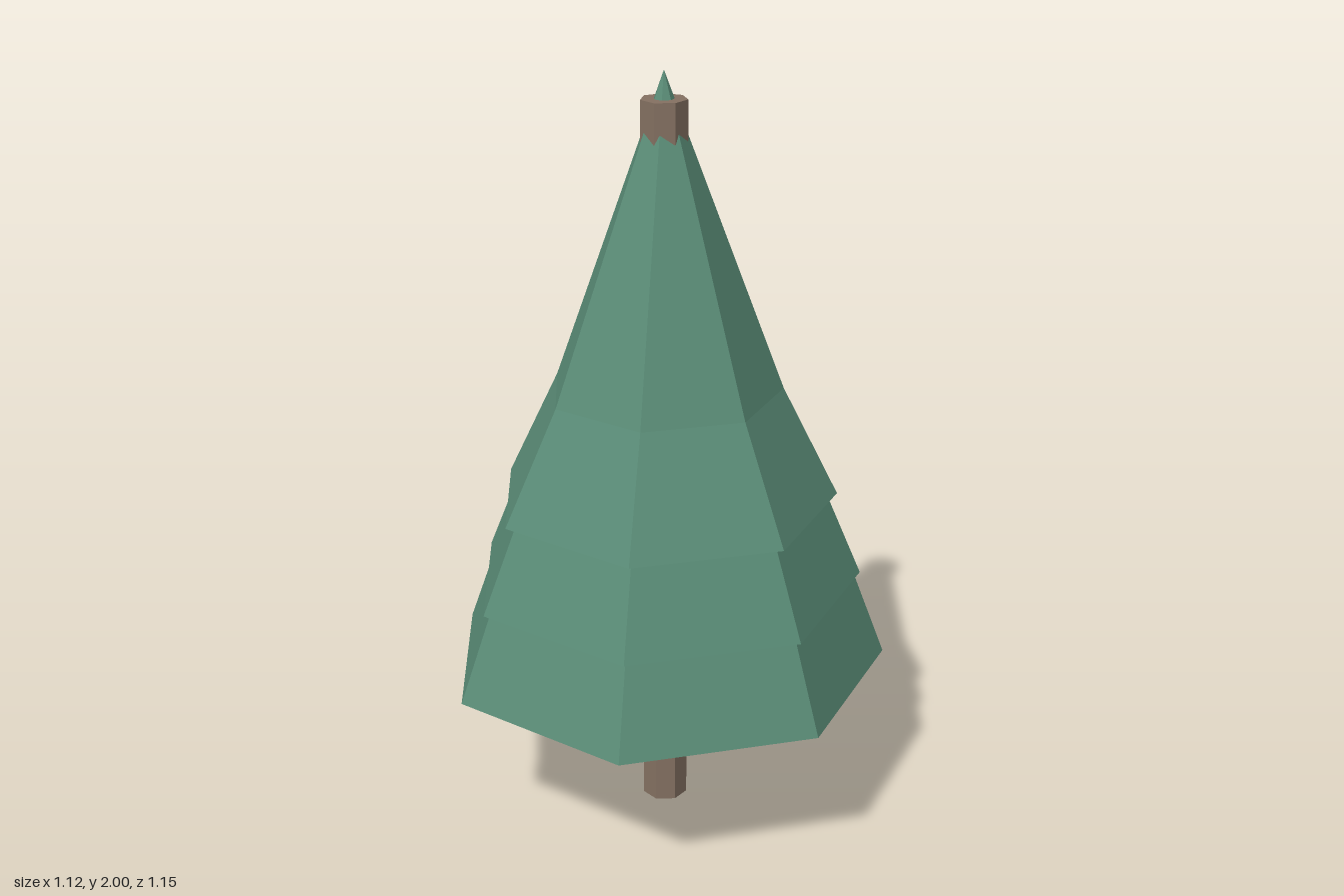
import * as THREE from 'three';

const SIDES = 7;
const AXIS_X = -0.03; // the trunk stands slightly off centre

export function createModel() {
  const green = new THREE.MeshStandardMaterial({ color: 0x5a8c77, flatShading: true, side: THREE.DoubleSide });
  green.name = 'needleGreen';
  const brown = new THREE.MeshStandardMaterial({ color: 0x857162, flatShading: true });
  brown.name = 'barkBrown';

  const tree = new THREE.Group();
  tree.name = 'pineTree';

  // Trunk: runs through the whole tree and pokes out near the top
  const trunkHeight = 1.93;
  const trunkGeo = new THREE.CylinderGeometry(0.06, 0.06, trunkHeight, SIDES);
  trunkGeo.rotateY(Math.PI);
  const trunk = new THREE.Mesh(trunkGeo, brown);
  trunk.name = 'trunk';
  trunk.position.set(AXIS_X, trunkHeight / 2, 0);
  tree.add(trunk);

  // Foliage: three open nested cones, the lowest also forming the tip
  const tiers = [
    { name: 'lowerFoliage', radius: 0.59, base: 0.42, apex: 2.0 },
    { name: 'middleFoliage', radius: 0.52, base: 0.655, apex: 1.9 },
    { name: 'upperFoliage', radius: 0.452, base: 0.885, apex: 1.8 },
  ];
  for (const { name, radius, base, apex } of tiers) {
    const geo = new THREE.ConeGeometry(radius, apex - base, SIDES, 1, true);
    geo.rotateY(Math.PI / 2); // a corner points to +x
    const tier = new THREE.Mesh(geo, green);
    tier.name = name;
    tier.position.set(AXIS_X, (base + apex) / 2, 0);
    tree.add(tier);
  }
  return tree;
}
